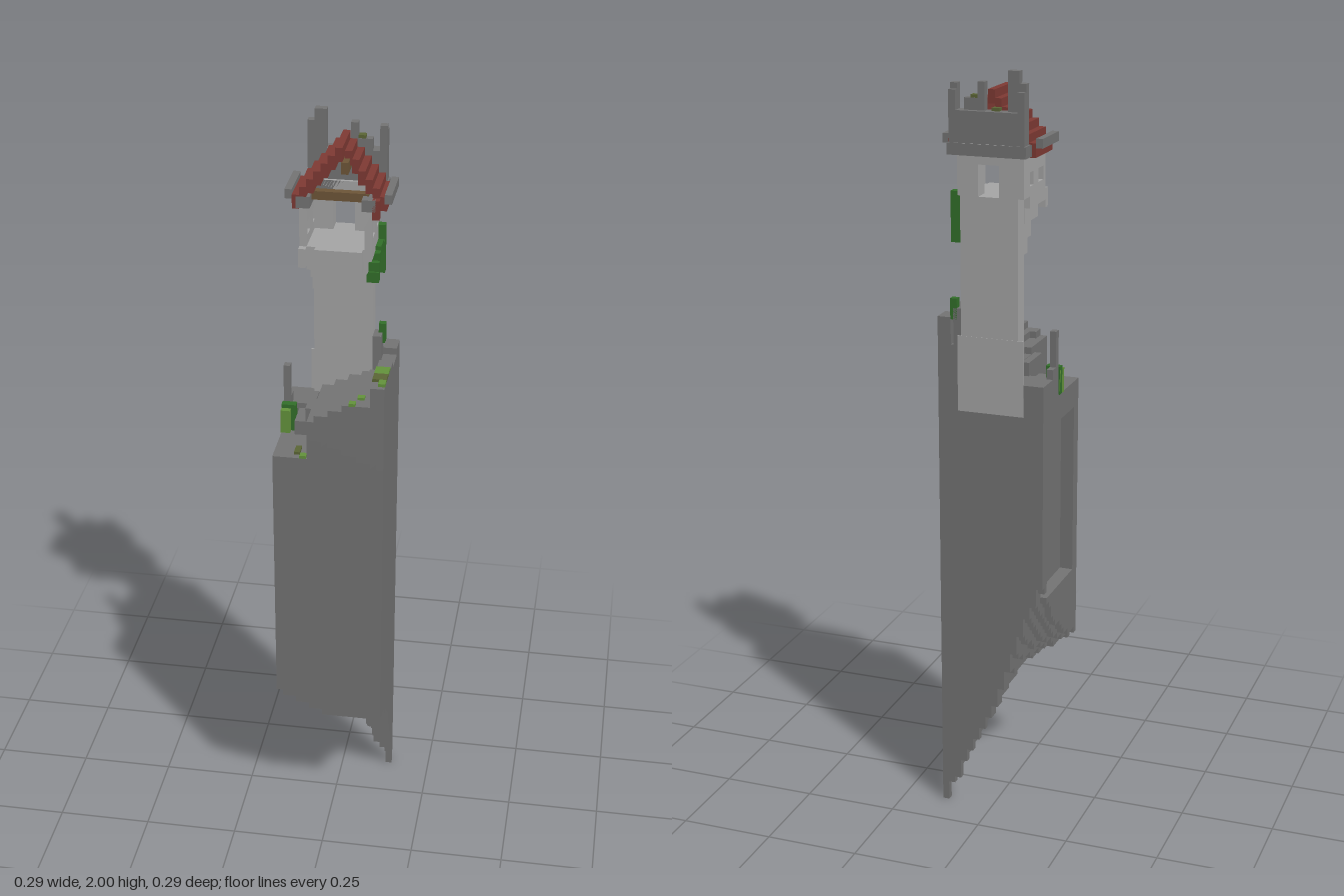
import * as THREE from 'three';

const material = (name, color, extra = {}) => Object.assign(new THREE.MeshStandardMaterial({ color, ...extra }), { name });
const stone = material('stone', 0x747474);
const paleStone = material('pale stone', 0xa6a6a6);
const tile = material('red tile', 0x7f3a34);
const wood = material('brown wood', 0x6e5638);
const ivy = material('ivy green', 0x33702a);
const lime = material('lime moss', 0x64943c);
const olive = material('olive moss', 0x5c6636);

const N = 16, V = 2 / 112, H = V * N / 2;

// piecewise linear profile through [position, height] points
function along(points, t) {
  for (let i = 1; i < points.length; i++) {
    const [a, ya] = points[i - 1], [b, yb] = points[i];
    if (t <= b) return ya + (yb - ya) * Math.max(0, (t - a) / (b - a));
  }
  return points[points.length - 1][1];
}

// ragged underside, blended from the lower edges of the four faces
const backEdge = [[-H, 0.70], [-0.1, 0.58], [-0.02, 0.34], [0, 0.28], [0.04, 0.2], [0.1, 0.06], [H, 0]];
const frontEdge = [[-H, 0.44], [-0.1, 0.40], [0, 0.36], [H, 0.35]];
const rightEdge = [[-H, 0], [-0.1, 0.08], [-0.05, 0.19], [0, 0.28], [0.05, 0.31], [0.1, 0.345], [H, 0.35]];
const leftEdge = [[-H, 0.70], [-0.05, 0.56], [0.05, 0.47], [H, 0.44]];
function underside(x, z) {
  const u = (x + H) / (2 * H), v = (z + H) / (2 * H);
  const sides = (1 - u) * along(leftEdge, z) + u * along(rightEdge, z);
  const ends = (1 - v) * along(backEdge, x) + v * along(frontEdge, x);
  const corners = (1 - v) * (1 - u) * 0.70 + v * ((1 - u) * 0.44 + u * 0.35);
  return sides + ends - corners;
}

// low floor on the left, steps up to the rim on the right
function topside(x, z) {
  if (x > 0.105) return z > -0.09 && z < -0.02 ? 1.357 : 1.375;
  if (x < -0.055) return z < -0.06 ? 1.22 : 1.16;
  const landing = 1.235 + (x + 0.055) * 0.45 + (z + H) * 0.12;
  return Math.min(1.32, landing);
}

// exposed faces of a block grid
function blockGeometry(solid, height) {
  const pos = [], idx = [];
  const dirs = [[0, 1], [0, -1], [1, 1], [1, -1], [2, 1], [2, -1]];
  for (let i = 0; i < N; i++) for (let j = 0; j < height; j++) for (let k = 0; k < N; k++) {
    if (!solid(i, j, k)) continue;
    for (const [axis, s] of dirs) {
      const c = [i, j, k], n = [...c];
      n[axis] += s;
      if (solid(...n)) continue;
      const base = pos.length / 3, a = (axis + 1) % 3, b = (axis + 2) % 3;
      for (const [da, db] of [[0, 0], [1, 0], [1, 1], [0, 1]]) {
        const p = [...c];
        p[axis] += s > 0 ? 1 : 0;
        p[a] += da;
        p[b] += db;
        pos.push(p[0] * V - H, p[1] * V, p[2] * V - H);
      }
      const q = s > 0 ? [0, 1, 2, 0, 2, 3] : [0, 2, 1, 0, 3, 2];
      idx.push(...q.map(o => base + o));
    }
  }
  const g = new THREE.BufferGeometry();
  g.setAttribute('position', new THREE.Float32BufferAttribute(pos, 3));
  g.setIndex(idx);
  g.computeVertexNormals();
  return g;
}

export function createModel() {
  const model = new THREE.Group();
  model.name = 'ruinedTower';
  const group = name => {
    const g = new THREE.Group();
    g.name = name;
    model.add(g);
    return g;
  };
  // box given by its extents
  const box = (parent, name, mat, x0, x1, y0, y1, z0, z1) => {
    const m = new THREE.Mesh(new THREE.BoxGeometry(x1 - x0, y1 - y0, z1 - z0), mat);
    m.position.set((x0 + x1) / 2, (y0 + y1) / 2, (z0 + z1) / 2);
    m.name = name;
    parent.add(m);
  };

  // floating rock shaft with a sunken panel on its left side
  const solid = (i, j, k) => {
    if (i < 0 || k < 0 || j < 0 || i >= N || k >= N) return false;
    const x = (i + 0.5) * V - H, z = (k + 0.5) * V - H, y = (j + 0.5) * V;
    if (i < 2 && z > -0.11 && z < 0.11 && y > 0.62 && y < 1.09) return false;
    const low = i === N - 1 && k === 0 ? 0 : underside(x, z);
    return y > low && y < topside(x, z);
  };
  const shaft = new THREE.Mesh(blockGeometry(solid, 80), stone);
  shaft.name = 'rockShaft';
  model.add(shaft);

  // tower back wall, with a window opening
  const wall = group('towerWall');
  box(wall, 'wallFoot', paleStone, -0.09, 0.088, 1.13, 1.33, -0.146, -0.141);
  box(wall, 'wallLower', paleStone, -0.075, 0.078, 1.2, 1.69, -0.145, -0.1);
  box(wall, 'wallLeftOfWindow', paleStone, 0.03, 0.085, 1.69, 1.82, -0.145, -0.1);
  box(wall, 'wallRightOfWindow', paleStone, -0.09, -0.025, 1.69, 1.82, -0.145, -0.1);
  box(wall, 'wallLintel', paleStone, -0.025, 0.03, 1.77, 1.82, -0.145, -0.1);
  box(wall, 'buttress', stone, 0.078, 0.1, 1.3, 1.4, -H, -0.1);

  // stepped brackets under the room
  const brackets = group('brackets');
  box(brackets, 'bracketTip', paleStone, -0.02, 0.035, 1.47, 1.54, -0.1, -0.083);
  box(brackets, 'bracketPoint', paleStone, -0.005, 0.02, 1.43, 1.47, -0.1, -0.09);
  [[1.54, 1.58, -0.065], [1.58, 1.62, -0.045], [1.62, 1.66, 0]].forEach(([y0, y1, z], i) =>
    box(brackets, 'bracketStep', paleStone, -0.072 - i * 0.002, 0.074 + i * 0.002, y0, y1, -0.1, z));

  // room with two windows on each side, open at the front
  const room = group('room');
  box(room, 'floor', paleStone, -0.09, 0.09, 1.66, 1.69, -0.1, 0.018);
  box(room, 'balcony', paleStone, -0.05, 0.068, 1.63, 1.69, 0, 0.036);
  for (const x of [-0.09, 0.072]) {
    box(room, 'sideSill', paleStone, x, x + 0.018, 1.69, 1.715, -0.1, 0.018);
    box(room, 'sideHeader', paleStone, x, x + 0.018, 1.75, 1.79, -0.11, 0.018);
    box(room, 'middlePier', paleStone, x, x + 0.018, 1.715, 1.75, -0.073, -0.036);
    box(room, 'frontPier', paleStone, x, x + 0.018, 1.715, 1.75, 0, 0.018);
    box(room, 'wallPlate', stone, x - 0.008, x + 0.026, 1.79, 1.82, -0.11, 0.018);
  }
  box(room, 'cornerBlock', paleStone, -0.09, -0.072, 1.64, 1.69, 0.018, 0.036);
  box(room, 'crossBeam', wood, -0.075, 0.078, 1.803, 1.825, -0.03, -0.01);

  // parapet and broken battlements behind the roof
  const parapet = group('parapet');
  box(parapet, 'parapetWall', stone, -0.09, 0.108, 1.82, 1.9, -H, -0.108);
  box(parapet, 'parapetLedge', stone, -0.095, 0.112, 1.79, 1.82, -0.146, -0.1);
  [[-0.09, -0.072, 1.97], [-0.072, -0.042, 2], [0.018, 0.036, 1.97], [0.036, 0.072, 1.93],
    [0.09, 0.108, 1.965]].forEach(([x0, x1, y]) =>
    box(parapet, 'merlon', stone, x0, x1, 1.9, y, -0.128, -0.108));
  for (const x of [-0.09, 0.09]) box(parapet, 'backMerlon', stone, x, x + 0.018, 1.9, 1.95, -H, -0.125);

  // stepped tiled gable, with a broken patch on the left slope
  const roof = group('roof');
  const cx = 0.008, step = 0.0178;
  box(roof, 'ridge', tile, cx - step / 2, cx + step / 2, 1.915, 1.95, -0.108, 0.018);
  for (let s = 1; s <= 6; s++) {
    const y = 1.95 - s * 0.021;
    for (const side of [-1, 1]) {
      const x = cx + side * s * step;
      const front = side < 0 ? 0.018 : s === 1 || s === 2 ? -0.02 : 0;
      box(roof, 'tileCourse', tile, x - step / 2, x + step / 2, y - 0.036, y, -0.108, front);
    }
  }
  box(roof, 'hangingTile', tile, 0.09, 0.108, 1.77, 1.82, 0, 0.018);
  for (const x of [-0.126, 0.12]) box(roof, 'eave', stone, x, x + 0.018, 1.812, 1.836, -0.108, 0.015);
  box(roof, 'rafterTie', wood, 0.012, 0.03, 1.88, 1.91, -0.06, 0.01);

  // broken post and low rim on the left edge
  const rim = group('leftRim');
  box(rim, 'brokenPost', stone, -H, -0.126, 1.16, 1.335, -0.045, -0.025);
  box(rim, 'rimBlock', stone, -H, -0.126, 1.16, 1.24, -0.07, -0.045);
  box(rim, 'rimStep', stone, -0.107, -0.055, 1.16, 1.2, -0.06, 0.02);
  box(rim, 'rimUpperStep', stone, -0.075, -0.055, 1.2, 1.25, -0.06, 0.04);

  // ivy arch and hanging leaves on the left of the room
  const plants = group('plants');
  for (let i = 0; i <= 7; i++) {
    const a = Math.PI * i / 7;
    const z = -0.075 + 0.052 * Math.cos(a), y = 1.605 + 0.055 * Math.sin(a);
    box(plants, 'ivyArch', ivy, 0.074, 0.104, y - 0.014, y + 0.014, z - 0.012, z + 0.012);
  }
  box(plants, 'ivyHanging', ivy, 0.078, 0.104, 1.57, 1.7, -H, -0.122);
  box(plants, 'ivySprig', ivy, 0.09, 0.108, 1.37, 1.425, -H, -0.125);
  box(plants, 'rimIvy', ivy, -H - 0.002, -0.107, 1.16, 1.235, -0.02, 0);
  box(plants, 'rimMoss', lime, -H - 0.002, -0.12, 1.16, 1.225, -0.02, 0.016);
  box(plants, 'panelMoss', olive, -0.125, -0.107, 0.82, 0.9, -0.1, -0.085);

  // thin moss patches
  const patch = (mat, x0, x1, y, z0, z1) => box(plants, 'mossPatch', mat, x0, x1, y, y + 0.008, z0, z1);
  patch(lime, 0.107, H, 1.375, 0.034, 0.072);
  patch(olive, 0.107, H, 1.375, 0.072, 0.105);
  patch(lime, 0.125, H, 1.375, 0.105, 0.13);
  patch(lime, 0.07, 0.088, 1.32, 0.09, 0.107);
  patch(lime, 0.053, 0.07, 1.32, 0.125, H);
  patch(olive, -0.09, -0.075, 1.16, 0.09, 0.125);
  patch(lime, -0.073, -0.056, 1.16, 0.125, H);
  patch(olive, -0.02, 0, 1.9, -0.128, -0.109);
  patch(olive, 0.037, 0.055, 1.93, -0.127, -0.109);
  return model;
}
